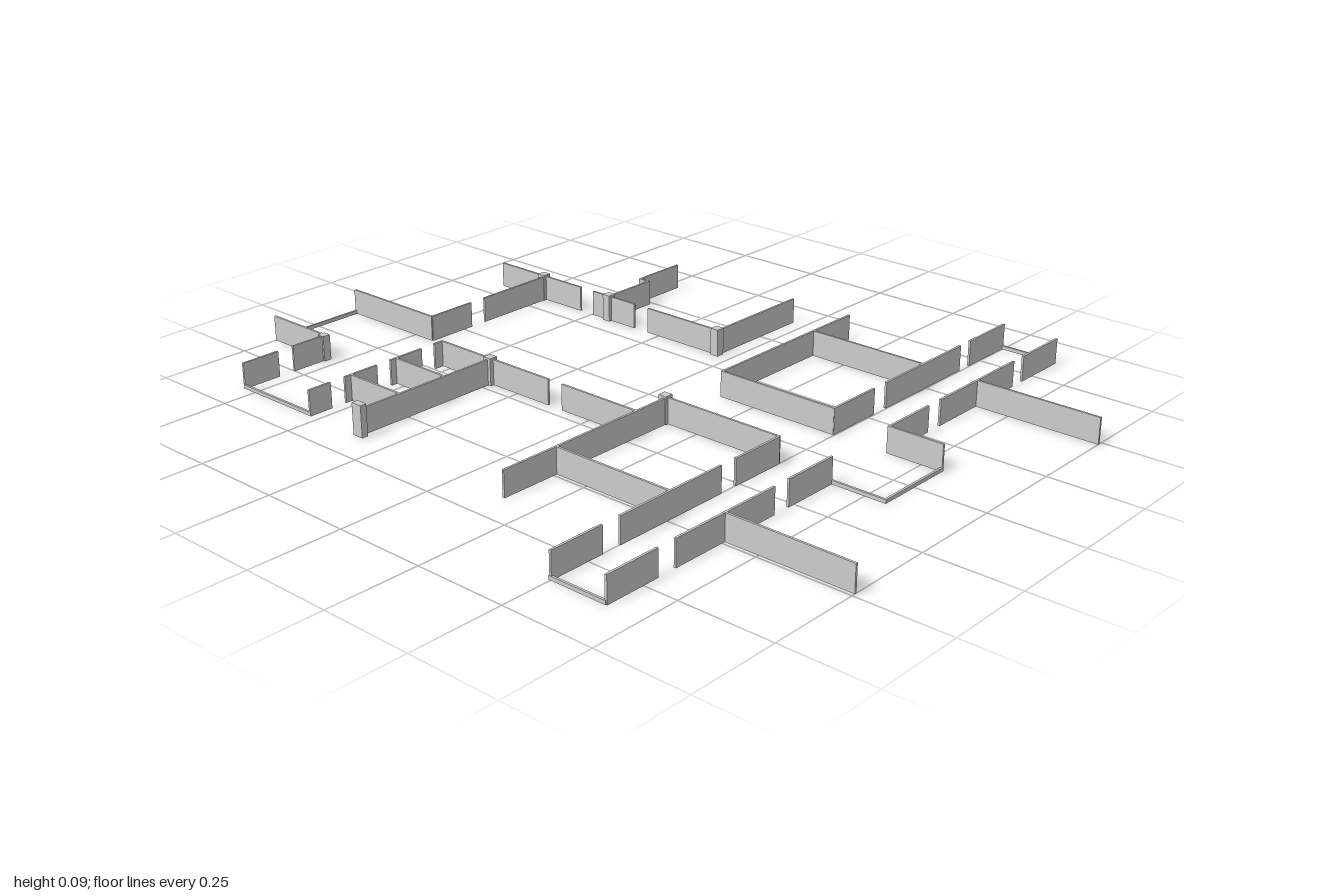
import * as THREE from 'three';

const WALL_H = 0.07, SILL_H = 0.01, T = 0.006;

export function createModel() {
  const model = new THREE.Group();
  model.name = 'floorPlan';
  const material = new THREE.MeshStandardMaterial({ color: 0xcccccc, flatShading: true });

  function block(name, x0, x1, z0, z1, height) {
    const mesh = new THREE.Mesh(new THREE.BoxGeometry(x1 - x0, height, z1 - z0), material);
    mesh.position.set((x0 + x1) / 2, height / 2, (z0 + z1) / 2);
    mesh.name = name;
    model.add(mesh);
  }
  // Runs along x at a fixed z, or along z at a fixed x; each span is [start, end]
  const alongX = (name, z, spans, h = WALL_H) =>
    spans.forEach(([a, b]) => block(name, a, b, z - T / 2, z + T / 2, h));
  const alongZ = (name, x, spans, h = WALL_H) =>
    spans.forEach(([a, b]) => block(name, x - T / 2, x + T / 2, a, b, h));

  // Long corridor with door gaps
  alongZ('corridorWall', 0.495, [[-0.865, -0.7], [-0.655, -0.325], [-0.275, -0.11]]);
  alongZ('corridorWall', 0.499, [[0.105, 0.265], [0.315, 0.65], [0.705, 0.86]]);
  alongZ('corridorWall', 0.655, [
    [-0.865, -0.7], [-0.655, -0.325], [-0.275, -0.11],
    [0.11, 0.27], [0.32, 0.65], [0.705, 0.86]]);
  alongX('corridorEndSill', -0.862, [[0.495, 0.655]], SILL_H);
  alongX('corridorEndSill', 0.858, [[0.495, 0.655]], SILL_H);

  // Bay beside the corridor
  alongX('bayWall', -0.113, [[0.655, 0.808]]);
  alongX('baySill', 0.109, [[0.655, 0.808]], SILL_H);
  alongZ('baySill', 0.805, [[-0.113, 0.109]], SILL_H);

  // Rooms on both sides of the corridor
  for (const z of [-0.488, 0.488]) alongX('roomDivider', z, [[0.15, 0.497], [0.655, 1]]);
  alongZ('backRoomWall', 0.147, [[-0.645, -0.11]]);
  alongX('backRoomWall', -0.112, [[0.145, 0.497]]);
  alongX('frontRoomWall', 0.104, [[0.147, 0.5]]);
  alongZ('frontRoomWall', 0.153, [[0.105, 0.658]]);

  // Front hall wall and small cubicles
  alongX('frontHallWall', 0.216, [[-0.53, -0.14], [-0.093, 0.153]]);
  alongZ('cubicleWall', -0.347, [[0.215, 0.655]]);
  alongZ('cubicleDoorWall', -0.529,
    [[0.215, 0.245], [0.29, 0.395], [0.44, 0.545], [0.59, 0.658]]);
  for (const z of [0.375, 0.523]) alongX('cubicleDivider', z, [[-0.53, -0.347]]);

  // Side entrance
  alongX('entranceSill', 0.655, [[-0.793, -0.527]], SILL_H);
  alongZ('entranceWall', -0.79, [[0.39, 0.5], [0.548, 0.658]]);
  alongX('entranceWall', 0.392, [[-1, -0.79]]);
  alongX('entranceWall', 0.113, [[-1, -0.682]]);
  alongZ('entranceSill', -0.997, [[0.113, 0.392]], SILL_H);
  alongZ('sideWall', -0.683, [[-0.32, -0.08], [-0.03, 0.113]]);

  // Back hall wall and the stepped passage behind it
  alongX('backHallWall', -0.322, [[-0.855, -0.543], [-0.495, -0.34], [-0.29, -0.04]]);
  alongZ('passageWall', -0.043, [[-0.645, -0.32]]);
  alongZ('passageWall', -0.467, [[-0.645, -0.485]]);
  alongX('passageStep', -0.485, [[-0.47, -0.433]]);
  alongZ('passageWall', -0.436, [[-0.485, -0.32]]);

  // Posts at the junctions: x, z, width, depth, height
  const posts = [
    [-0.69, -0.322, 0.024, 0.024, 0.075], [-0.437, -0.322, 0.024, 0.024, 0.075],
    [-0.046, -0.322, 0.024, 0.024, 0.075], [0.147, 0.104, 0.024, 0.024, 0.075],
    [-0.347, 0.218, 0.024, 0.024, 0.075], [-0.793, 0.394, 0.022, 0.022, 0.07],
    [-0.347, 0.65, 0.032, 0.018, 0.085]];
  for (const [x, z, w, d, h] of posts)
    block('post', x - w / 2, x + w / 2, z - d / 2, z + d / 2, h);

  return model;
}
